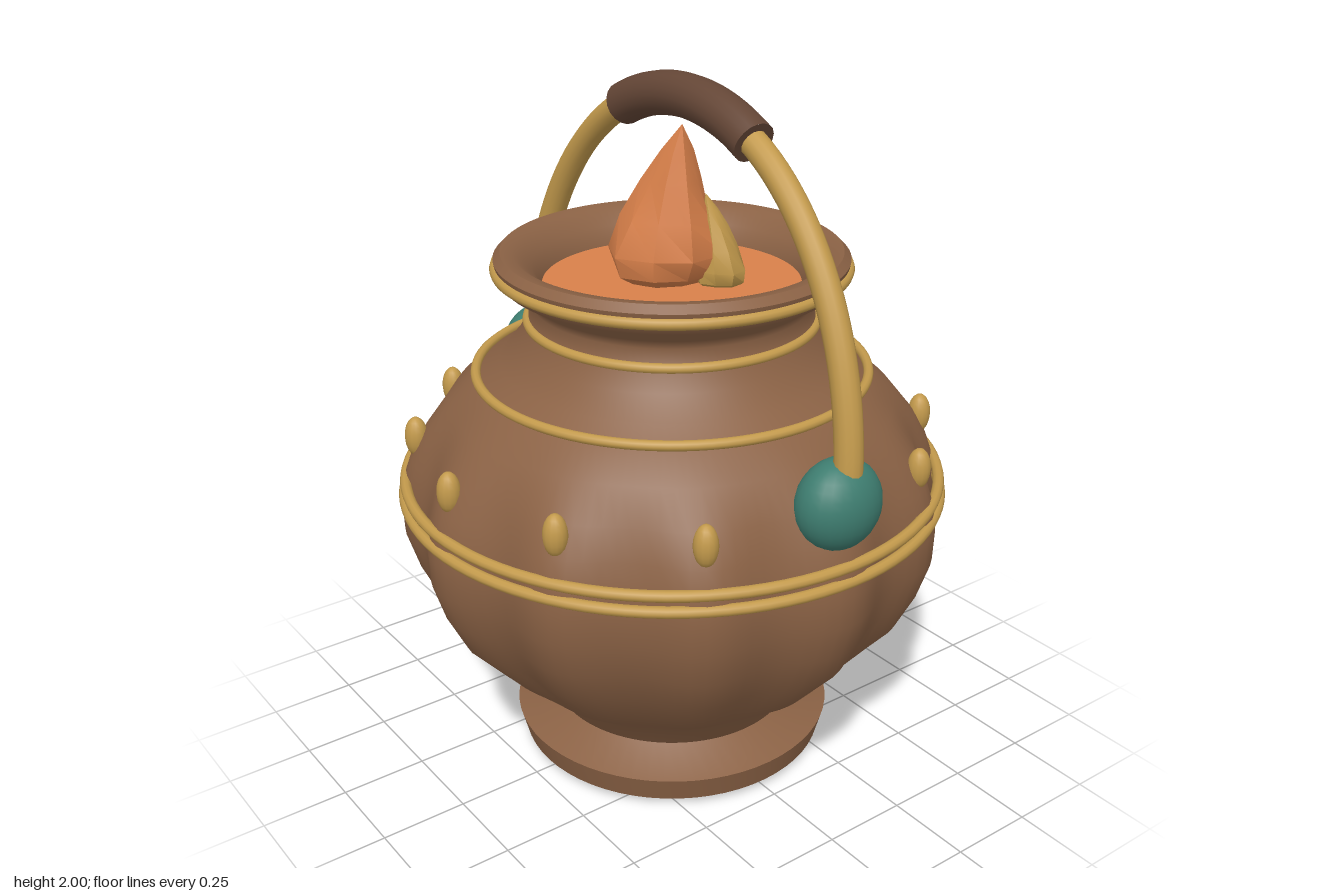
import * as THREE from 'three';
import { mergeVertices, toCreasedNormals } from 'three/addons/utils/BufferGeometryUtils.js';

const paint = (name, color) => {
  const m = new THREE.MeshStandardMaterial({ color });
  m.name = name;
  return m;
};

// Lathe whose vertices can be moved by a rule, with sharp edges kept
function turned(points, segments, crease, rule) {
  let g = new THREE.LatheGeometry(points.map(([r, y]) => new THREE.Vector2(r, y)), segments);
  g.deleteAttribute('uv');
  g.deleteAttribute('normal');
  if (rule) {
    const p = g.attributes.position, v = new THREE.Vector3();
    for (let i = 0; i < p.count; i++) {
      rule(v.fromBufferAttribute(p, i));
      p.setXYZ(i, v.x, v.y, v.z);
    }
  }
  g = mergeVertices(g, 1e-5);
  return toCreasedNormals(g, crease);
}

export function createModel() {
  const model = new THREE.Group();
  model.name = 'potWithHandle';
  const clay = paint('clay', 0x8b6245);
  const gold = paint('gold', 0xc39a4c);
  const ember = paint('ember', 0xd8804a);
  const teal = paint('teal', 0x3e7d70);
  const leather = paint('leather', 0x644636);

  const add = (name, geometry, material, parent = model) => {
    const mesh = new THREE.Mesh(geometry, material);
    mesh.name = name;
    parent.add(mesh);
    return mesh;
  };

  // Foot
  add('foot', turned([[0, 0], [0.39, 0], [0.455, 0.025], [0.475, 0.1], [0.36, 0.15], [0.34, 0.17]], 64, 0.7), clay);

  // Body with twelve soft lobes, neck and hollow rim
  const profile = [
    [0.34, 0.13], [0.36, 0.15], [0.4, 0.22], [0.545, 0.33], [0.69, 0.49], [0.745, 0.6], [0.78, 0.71],
    [0.783, 0.8], [0.775, 0.87], [0.75, 0.94], [0.705, 1.02], [0.63, 1.11], [0.55, 1.18], [0.485, 1.22],
    [0.435, 1.28], [0.402, 1.34], [0.388, 1.385], [0.4, 1.41], [0.47, 1.455], [0.485, 1.49], [0.49, 1.515],
    [0.47, 1.535], [0.435, 1.53], [0.385, 1.49], [0.358, 1.44], [0.35, 1.38]];
  add('body', turned(profile, 120, 0.8, (v) => {
    const lobe = THREE.MathUtils.smoothstep(v.y, 0.2, 0.5) * (1 - THREE.MathUtils.smoothstep(v.y, 0.9, 1.16));
    const k = 1 - 0.03 * lobe * (1 - Math.cos(12 * Math.atan2(v.x, v.z)));
    v.x *= k;
    v.z *= k;
  }), clay);

  // Glowing surface inside the rim
  const surface = add('emberSurface', new THREE.CircleGeometry(0.362, 64), ember);
  surface.rotation.x = -Math.PI / 2;
  surface.position.y = 1.44;

  // Gold bands
  const bands = [[0.772, 0.84, 0.016], [0.766, 0.882, 0.016], [0.552, 1.19, 0.014], [0.402, 1.337, 0.014], [0.484, 1.488, 0.016]];
  for (const [r, y, tube] of bands) {
    const band = add('goldBand', new THREE.TorusGeometry(r, tube, 10, 96), gold);
    band.rotation.x = Math.PI / 2;
    band.position.y = y;
  }

  // Beads around the shoulder
  for (let i = 0; i < 12; i++) {
    const a = (i * Math.PI) / 6;
    const bead = add('bead', new THREE.SphereGeometry(0.033, 14, 10), gold);
    bead.scale.y = 1.8;
    bead.position.set(0.728 * Math.sin(a), 1, 0.728 * Math.cos(a));
  }

  // Flames: wobbly teardrops that bend towards the tip
  const flame = (name, material, base, tip, radius, phase) => {
    const height = tip.y - base.y;
    const shape = [[0, 0], [0.55, 0.02], [0.88, 0.1], [1, 0.23], [0.77, 0.44], [0.5, 0.66], [0.27, 0.84], [0, 1]];
    const g = turned(shape.map(([r, t]) => [r * radius, t * height]), 9, 0.6, (v) => {
      const t = v.y / height, a = Math.atan2(v.x, v.z);
      const k = 1 + 0.09 * Math.sin(3 * a + 5 * t + phase);
      v.set(v.x * k + (tip.x - base.x) * t * t, v.y, v.z * k + (tip.z - base.z) * t * t);
    });
    add(name, g, material).position.copy(base);
  };
  flame('largeFlame', ember, new THREE.Vector3(-0.03, 1.42, 0), new THREE.Vector3(0.045, 1.88, 0), 0.16, 1);
  flame('smallFlame', gold, new THREE.Vector3(0.095, 1.42, -0.095), new THREE.Vector3(0.07, 1.69, -0.06), 0.075, 2);

  // Handle arch, leaning slightly back
  const arch = (from, to) => {
    const pts = [];
    for (let i = 0; i <= 24; i++) {
      const a = from + ((to - from) * i) / 24;
      pts.push(new THREE.Vector3(0.735 * Math.cos(a), 1.05 + 0.89 * Math.sin(a), -0.05 * Math.sin(a)));
    }
    return new THREE.CatmullRomCurve3(pts);
  };
  add('handle', new THREE.TubeGeometry(arch(0, Math.PI), 64, 0.038, 14), gold);

  // Grip with closed ends
  const grip = new THREE.Group();
  grip.name = 'grip';
  model.add(grip);
  const half = Math.asin(0.285 / 0.735);
  const gripCurve = arch(Math.PI / 2 - half, Math.PI / 2 + half);
  add('gripSleeve', new THREE.TubeGeometry(gripCurve, 24, 0.06, 18), leather, grip);
  for (const [t, sign] of [[0, -1], [1, 1]]) {
    const cap = add('gripEnd', new THREE.CircleGeometry(0.06, 18), leather, grip);
    cap.position.copy(gripCurve.getPointAt(t));
    cap.lookAt(cap.position.clone().addScaledVector(gripCurve.getTangentAt(t), sign));
  }

  // Handle mounts
  for (const side of [-1, 1]) {
    const mount = add(side > 0 ? 'leftMount' : 'rightMount', new THREE.SphereGeometry(0.125, 24, 16), teal);
    mount.scale.x = 0.78;
    mount.position.set(side * 0.706, 1.037, 0);
  }
  return model;
}
